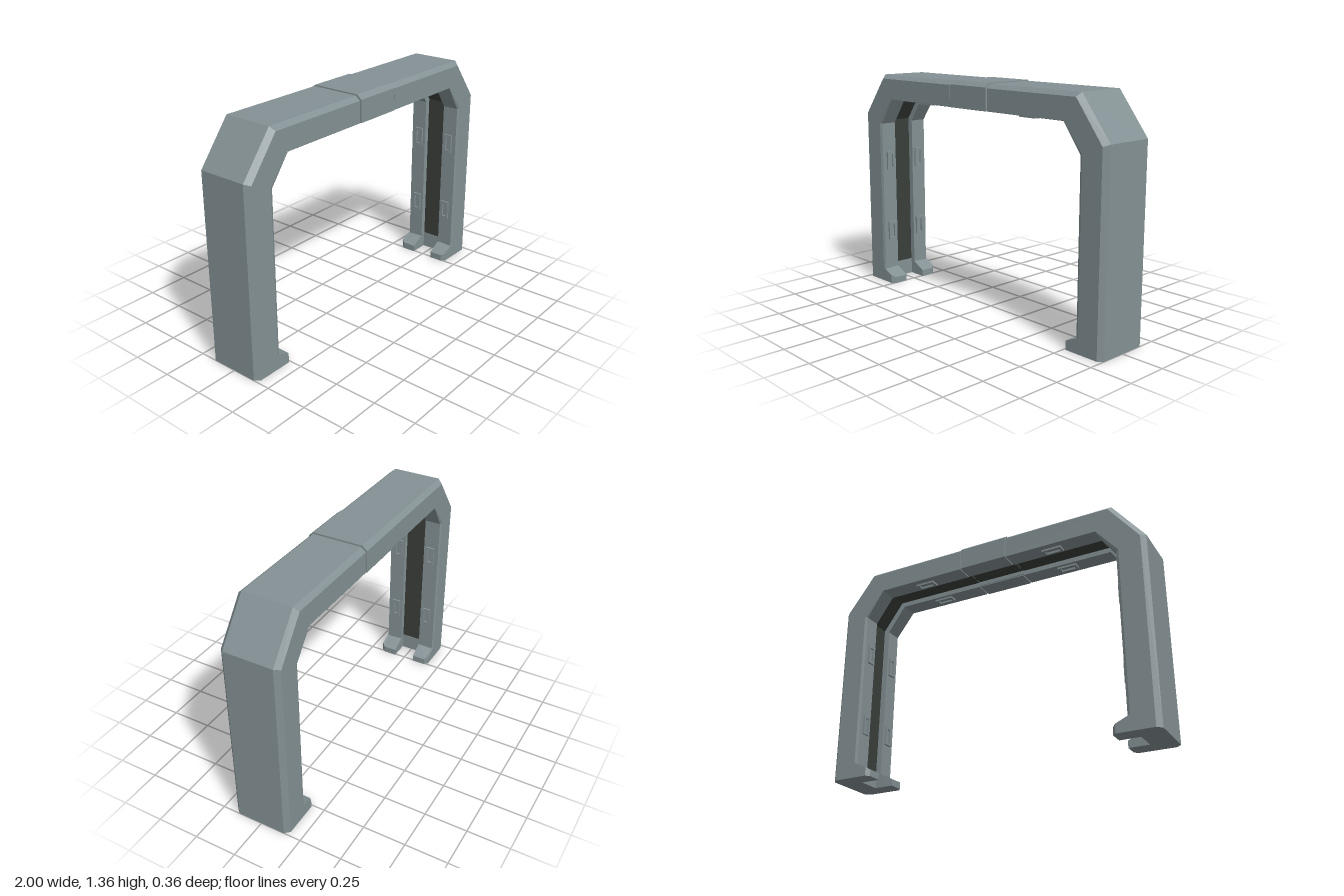
import * as THREE from 'three';

// Half of the channel cross-section: depth (0 = outer face, 1 = inner face) and z
const halfSection = (c) => [
  [0, 0.146], [0.16, 0.174], [1 - c, 0.174], [1, 0.174 - c * 0.08], [1, 0.068], [0.8, 0.068],
];

// Sweeps the channel section along stations { o: outer point, i: inner point, c: inner chamfer }
function sweepChannel(stations, materials, name, w = 1) {
  const flats = stations.map(({ c }) => {
    const half = halfSection(c);
    return [...half, ...half.map(([t, z]) => [t, -z]).reverse()];
  });
  const rings = stations.map(({ o, i }, k) => flats[k].map(([t, z]) =>
    [o[0] + (i[0] - o[0]) * t, o[1] + (i[1] - o[1]) * t, z * w]));
  const body = [], floor = [];
  const n = rings[0].length;
  for (let k = 0; k < rings.length - 1; k++) {
    for (let j = 0; j < n; j++) {
      const m = (j + 1) % n;
      const a = rings[k][j], b = rings[k + 1][j], c = rings[k + 1][m], d = rings[k][m];
      (j === 5 ? floor : body).push(a, b, c, a, c, d); // side 5 is the channel floor
    }
  }
  // End caps
  for (const [k, sign] of [[0, -1], [rings.length - 1, 1]]) {
    const contour = flats[k].map(([t, z]) => new THREE.Vector2(t, z));
    for (const tri of THREE.ShapeUtils.triangulateShape(contour, [])) {
      const area = THREE.ShapeUtils.area(tri.map((v) => contour[v]));
      const order = area * sign > 0 ? tri : [...tri].reverse();
      body.push(...order.map((v) => rings[k][v]));
    }
  }
  const geo = new THREE.BufferGeometry();
  geo.setAttribute('position', new THREE.Float32BufferAttribute([...body, ...floor].flat(), 3));
  geo.addGroup(0, body.length, 0);
  geo.addGroup(body.length, floor.length, 1);
  geo.computeVertexNormals();
  const mesh = new THREE.Mesh(geo, materials);
  mesh.name = name;
  return mesh;
}

// Forked foot: notched plan with a sloping top
function footGeometry() {
  const half = [[0.87, 0.174], [0.762, 0.174], [0.742, 0.152], [0.742, 0.068], [0.86, 0.068]];
  const plan = [...half, ...half.map(([x, z]) => [x, -z]).reverse()];
  const shape = new THREE.Shape(plan.map(([x, z]) => new THREE.Vector2(x, z)));
  const geo = new THREE.ExtrudeGeometry(shape, { depth: 1, bevelEnabled: false });
  geo.rotateX(Math.PI / 2);
  const p = geo.attributes.position;
  for (let v = 0; v < p.count; v++) {
    const top = 0.04 + 0.06 * Math.min(1, (p.getX(v) - 0.742) / 0.1);
    p.setY(v, p.getY(v) < -0.5 ? 0 : top);
  }
  geo.computeVertexNormals();
  return geo;
}

// Small rectangular clip frame
function clipGeometry() {
  const rect = (target, w, h) => {
    target.moveTo(-w, -h);
    target.lineTo(w, -h);
    target.lineTo(w, h);
    target.lineTo(-w, h);
    target.closePath();
    return target;
  };
  const shape = rect(new THREE.Shape(), 0.027, 0.059);
  shape.holes.push(rect(new THREE.Path(), 0.014, 0.043));
  return new THREE.ExtrudeGeometry(shape, { depth: 0.014, bevelEnabled: false });
}

export function createModel() {
  const model = new THREE.Group();
  model.name = 'archFrame';
  const shell = new THREE.MeshStandardMaterial({ color: 0x849194 });
  shell.name = 'blue grey shell';
  const liner = new THREE.MeshStandardMaterial({ color: 0x3a3f3a });
  liner.name = 'dark channel floor';
  const materials = [shell, liner];

  const foot = footGeometry();
  const clip = clipGeometry();

  for (const side of ['left', 'right']) {
    const half = new THREE.Group();
    half.name = side + 'Half';
    // Leg, slanted shoulder and half of the top beam
    half.add(sweepChannel([
      { o: [1, 0], i: [0.829, 0], c: 0.09 },
      { o: [1, 1.11], i: [0.829, 1.04], c: 0.09 },
      { o: [0.812, 1.35], i: [0.717, 1.2], c: 0.01 },
      { o: [0.156, 1.35], i: [0.156, 1.2], c: 0.01 },
    ], materials, side + 'Arm'));

    const footMesh = new THREE.Mesh(foot, shell);
    footMesh.name = side + 'Foot';
    half.add(footMesh);

    // Clips on both flanges of the leg and the beam
    for (const z of [-0.112, 0.112]) {
      for (const y of [0.335, 0.8]) {
        const legClip = new THREE.Mesh(clip, shell);
        legClip.name = 'legClip';
        legClip.rotation.y = -Math.PI / 2;
        legClip.position.set(0.831, y, z);
        half.add(legClip);
      }
      const beamClip = new THREE.Mesh(clip, shell);
      beamClip.name = 'beamClip';
      beamClip.rotation.set(Math.PI / 2, 0, Math.PI / 2);
      beamClip.position.set(0.43, 1.202, z);
      half.add(beamClip);
    }
    if (side === 'right') half.rotation.y = Math.PI;
    model.add(half);
  }

  // Centre band, with a recessed core showing in the seams
  const straight = (x, top, bottom) =>
    [x, -x].map((v) => ({ o: [v, top], i: [v, bottom], c: 0.01 }));
  model.add(sweepChannel(straight(0.149, 1.355, 1.2), materials, 'centreBand', 1.025));
  model.add(sweepChannel(straight(0.1565, 1.34, 1.206), materials, 'seamCore', 0.96));
  return model;
}
